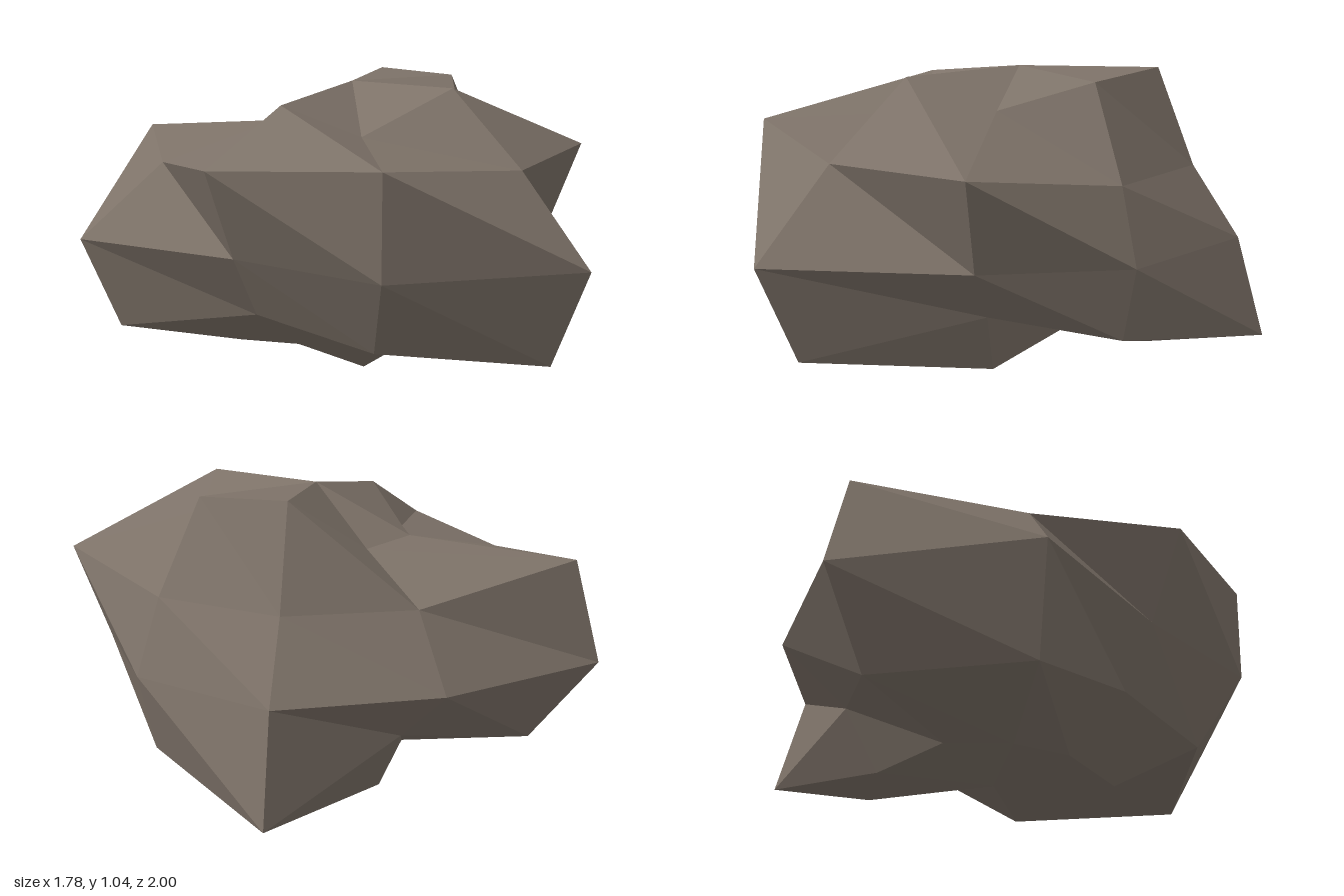
import * as THREE from 'three';

// Horizontal reach of each ring, top to bottom, at 0, 40, ... 320 degrees (from +x towards +z)
const REACH = [
  [0.51, 0.418, 0.508, 0.35, 0.455, 0.345, 0.355, 0.345, 0.525],
  [0.685, 0.895, 0.822, 0.97, 0.873, 0.747, 0.945, 0.66, 0.665],
  [0.78, 0.77, 1.115, 0.96, 0.734, 1.064, 1.04, 0.82, 0.838],
  [0.716, 0.57, 0.968, 0.77, 0.61, 0.925, 0.81, 0.57, 0.944],
  [0.322, 0.47, 0.349, 0.45, 0.36, 0.458, 0.34, 0.44, 0.515],
];
const SIDES = 9, RINGS = 6;
const CENTRE = new THREE.Vector3(0.11, 0.445, -0.1);
const SQUASH = 0.653, POLE = 0.88;

export function createModel() {
  const group = new THREE.Group();
  group.name = 'rock';

  const stone = new THREE.MeshStandardMaterial({ color: 0x7d7268 });
  stone.name = 'stone';
  stone.flatShading = true;

  // Squashed sphere whose corners are pushed in and out, with its underside cut flat on the ground
  const sphere = new THREE.SphereGeometry(1, SIDES, RINGS, Math.PI);
  const pos = sphere.attributes.position;
  const v = new THREE.Vector3();
  for (let i = 0; i < pos.count; i++) {
    const row = Math.floor(i / (SIDES + 1));
    const column = (SIDES - (i % (SIDES + 1))) % SIDES;
    const isPole = row === 0 || row === RINGS;
    const radius = isPole ? POLE : REACH[row - 1][column] / Math.sin((row * Math.PI) / RINGS);
    v.fromBufferAttribute(pos, i).multiplyScalar(radius);
    v.y *= SQUASH;
    v.add(CENTRE);
    pos.setXYZ(i, v.x, Math.max(0, v.y), v.z);
  }
  const geometry = sphere.toNonIndexed();
  geometry.computeVertexNormals();

  const boulder = new THREE.Mesh(geometry, stone);
  boulder.name = 'boulder';
  group.add(boulder);
  return group;
}
